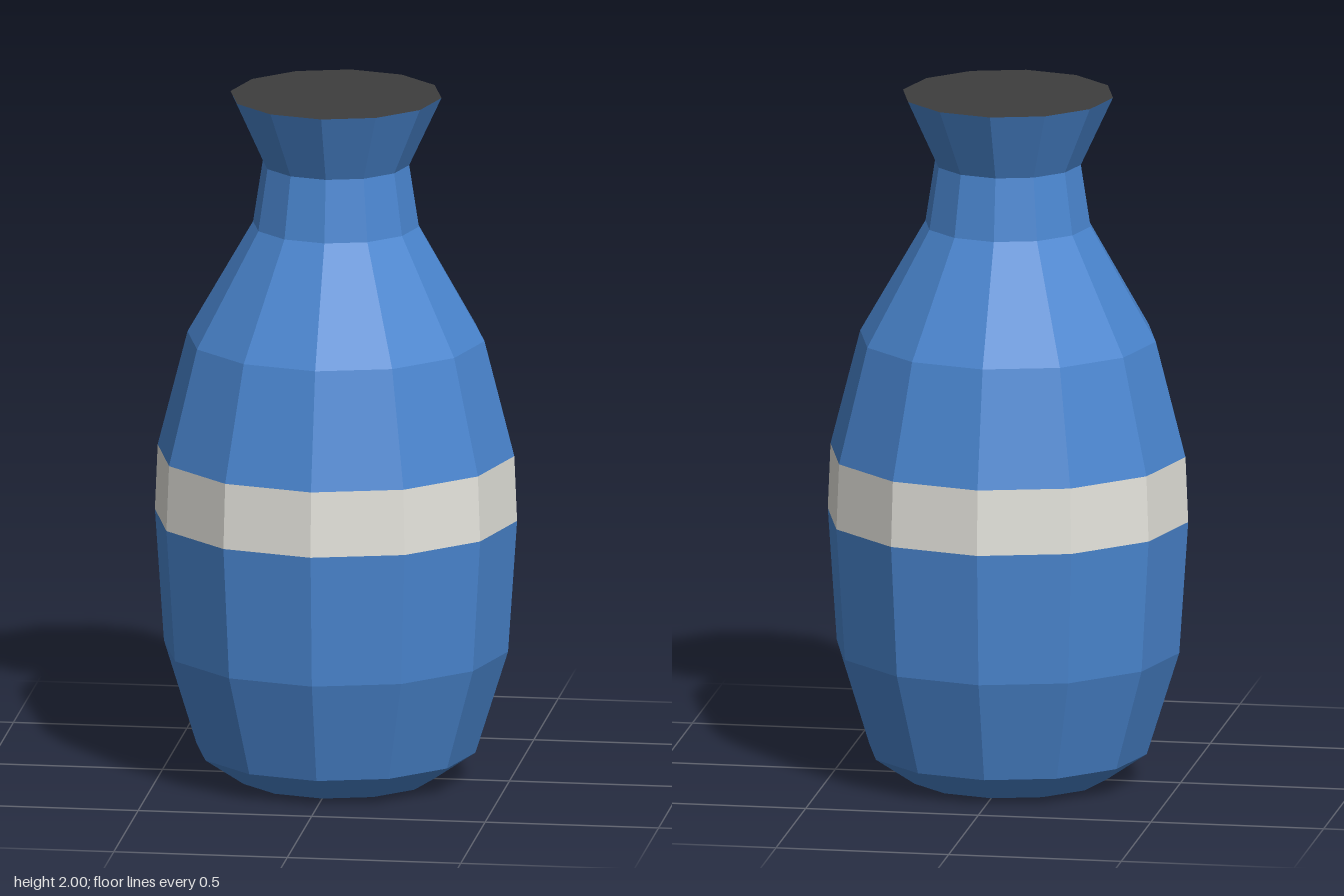
import * as THREE from 'three';

const SIDES = 12;

function material(name, color) {
  const m = new THREE.MeshStandardMaterial({ color });
  m.name = name;
  return m;
}

// Faceted ring wall turned from [radius, height] points, bottom to top
function turned(name, profile, mat) {
  const points = profile.map(([r, y]) => new THREE.Vector2(r, y));
  const geometry = new THREE.LatheGeometry(points, SIDES).toNonIndexed();
  geometry.computeVertexNormals();
  const mesh = new THREE.Mesh(geometry, mat);
  mesh.name = name;
  return mesh;
}

// Flat twelve-sided disc facing up or down
function disc(name, radius, y, up, mat) {
  const mesh = new THREE.Mesh(new THREE.CircleGeometry(radius, SIDES), mat);
  mesh.rotation.x = up ? -Math.PI / 2 : Math.PI / 2;
  mesh.position.y = y;
  mesh.name = name;
  return mesh;
}

export function createModel() {
  const blue = material('blue glaze', 0x4a86d0);
  const cream = material('cream band', 0xe4e3dc);
  const dark = material('dark opening', 0x3e3e3e);

  const vase = new THREE.Group();
  vase.name = 'vase';
  vase.add(
    // Base and belly
    disc('base', 0.284, 0, false, blue),
    turned('lowerBody', [[0.284, 0], [0.402, 0.08], [0.496, 0.38], [0.522, 0.765]], blue),
    // Painted band round the widest part
    turned('band', [[0.522, 0.765], [0.514, 0.955]], cream),
    // Shoulder, neck and flared lip
    turned('upperBody', [[0.514, 0.955], [0.428, 1.29], [0.239, 1.62], [0.211, 1.8], [0.304, 2]], blue),
    // Mouth
    disc('opening', 0.304, 2, true, dark),
  );
  return vase;
}
